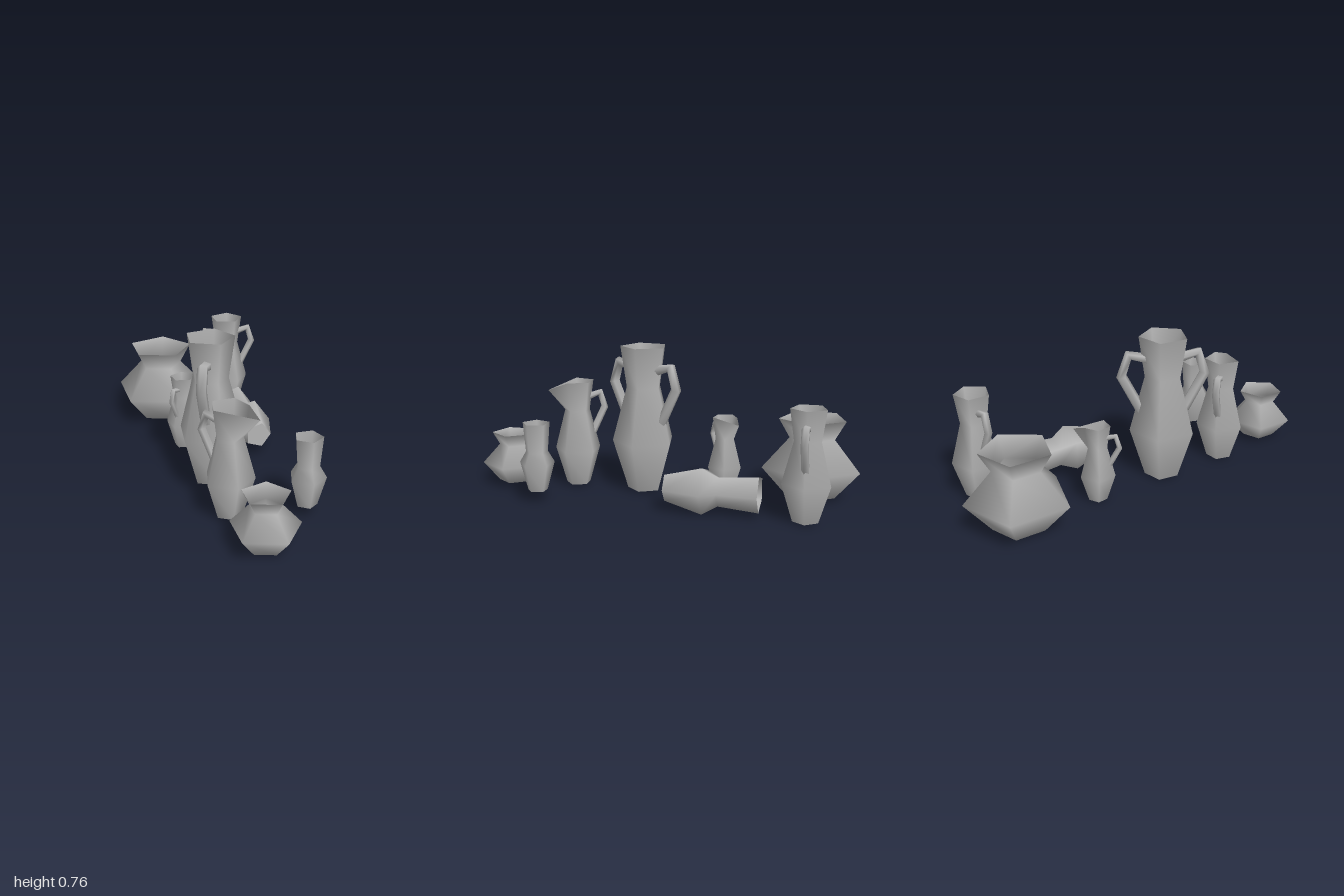
import * as THREE from 'three';

const SIDES = 5;
const clay = new THREE.MeshStandardMaterial({ color: 0xb4b4b4, side: THREE.DoubleSide });
clay.name = 'grey clay';

// profiles as [radius, height], from foot to rim
const POT = [[0.13, 0], [0.26, 0.15], [0.12, 0.305], [0.177, 0.405]];
const JAR = [[0.065, 0], [0.123, 0.187], [0.068, 0.395], [0.091, 0.55]];
const FLASK = [[0.052, 0], [0.092, 0.142], [0.058, 0.2], [0.071, 0.35]];

// angular path whose sections sit exactly on its corners
class Polyline extends THREE.Curve {
  constructor(points) {
    super();
    this.points = points;
  }
  getPoint(t, target = new THREE.Vector3()) {
    const n = this.points.length - 1;
    const i = Math.min(n - 1, Math.floor(t * n + 1e-9));
    return target.lerpVectors(this.points[i], this.points[i + 1], t * n - i);
  }
  getPointAt(t, target) { return this.getPoint(t, target); }
  getTangentAt(t, target) { return this.getTangent(t, target); }
}

const handlePath = new Polyline([[0.055, 0.462], [0.126, 0.48], [0.152, 0.40], [0.08, 0.262]]
  .map(([x, y]) => new THREE.Vector3(x, y, 0)));

function add(group, name, geometry) {
  const mesh = new THREE.Mesh(geometry, clay);
  mesh.name = name;
  group.add(mesh);
  return mesh;
}

// five-sided open vessel with a flat foot, first corner towards +x
function vessel(name, profile, { handles = 0, bentRim = false } = {}) {
  const group = new THREE.Group();
  group.name = name;
  const points = profile.map(([r, y]) => new THREE.Vector2(r, y));
  const wall = new THREE.LatheGeometry(points, SIDES, Math.PI / 2);
  if (bentRim) {
    // one rim corner pulled sideways, outwards and down
    const index = 2 * points.length + points.length - 1;
    const pos = wall.attributes.position;
    const radial = new THREE.Vector3(pos.getX(index), 0, pos.getZ(index)).normalize();
    const side = new THREE.Vector3(radial.z, 0, -radial.x);
    pos.setXYZ(index,
      pos.getX(index) + radial.x * 0.035 + side.x * 0.1,
      pos.getY(index) - 0.035,
      pos.getZ(index) + radial.z * 0.035 + side.z * 0.1);
  }
  add(group, 'wall', wall);
  add(group, 'foot', new THREE.CircleGeometry(profile[0][0], SIDES).rotateX(Math.PI / 2));
  for (let i = 0; i < handles; i++) {
    const handle = add(group, 'handle', new THREE.TubeGeometry(handlePath, 3, 0.02, SIDES, false));
    handle.rotation.y = i * Math.PI;
  }
  return group;
}

export function createModel() {
  const model = new THREE.Group();
  model.name = 'vesselCollection';

  const place = (item, x, y, z, scale, turn = 0) => {
    item.position.set(x, y, z);
    item.scale.setScalar(scale);
    item.rotation.y = THREE.MathUtils.degToRad(turn);
    model.add(item);
    return item;
  };

  // squat pots
  place(vessel('largePot', POT), -0.18, 0.02, -0.755, 1);
  place(vessel('smallPot', POT), -0.055, 0.02, 0.83, 0.654);

  // two-handled jars
  place(vessel('twoHandledJar', JAR, { handles: 2 }), 0.22, 0.01, -0.77, 1);
  place(vessel('tallTwoHandledJar', JAR, { handles: 2 }), -0.115, 0.01, 0.115, 1.38, 64.6);

  // one-handled jugs with a bent rim
  place(vessel('jug', JAR, { handles: 1, bentRim: true }), -0.125, 0.01, 0.49, 1.015, 130);
  place(vessel('smallJug', JAR, { handles: 1, bentRim: true }), -0.155, 0.01, -0.305, 0.727, -135);

  // plain flasks, one of them lying on its side
  place(vessel('standingFlask', FLASK), 0.227, 0.062, 0.587, 1, -18);
  const lying = place(vessel('lyingFlask', FLASK), 0.2, 0.122, -0.076, 1.34);
  lying.rotation.x = -Math.PI / 2;

  return model;
}
